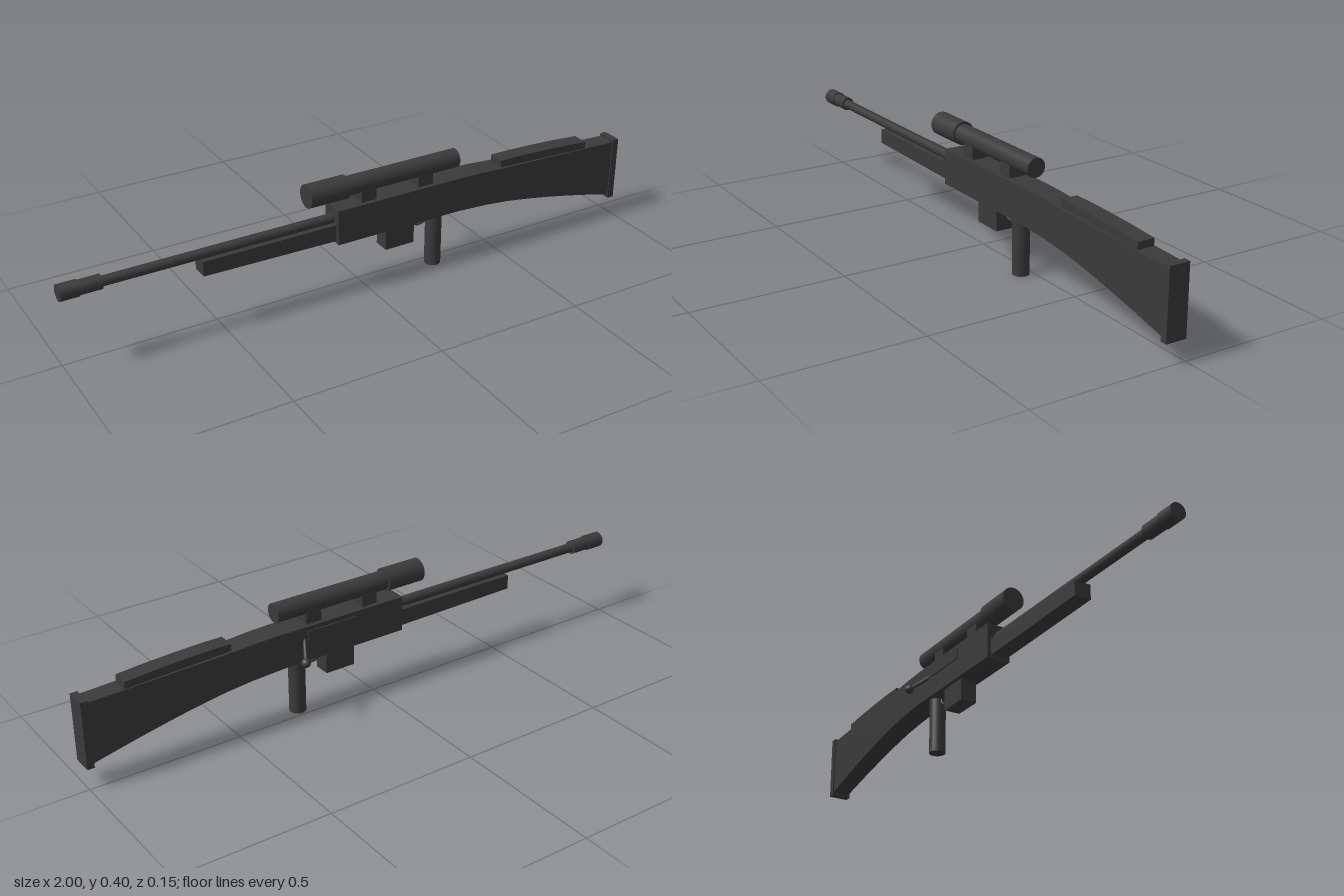
import * as THREE from 'three';

const ZC = 0.035; // centre plane of the long parts

export function createModel() {
  const model = new THREE.Group();
  const gunmetal = new THREE.MeshStandardMaterial({ color: 0x3a3a3a });
  gunmetal.name = 'gunmetal';

  const add = (name, geometry) => {
    const mesh = new THREE.Mesh(geometry, gunmetal);
    mesh.name = name;
    model.add(mesh);
    return mesh;
  };
  // Box given by its limits in x and y, and its centre and width in z
  const box = (name, x0, x1, y0, y1, width, z = ZC) =>
    add(name, new THREE.BoxGeometry(x1 - x0, y1 - y0, width))
      .position.set((x0 + x1) / 2, (y0 + y1) / 2, z);
  // Cylinder lying along x
  const rod = (name, x0, x1, y, radius) => {
    const g = new THREE.CylinderGeometry(radius, radius, x1 - x0, 32).rotateZ(Math.PI / 2);
    add(name, g).position.set((x0 + x1) / 2, y, ZC);
  };
  // Side outline extruded across z, half width set by a function of x
  const slab = (name, points, halfWidth) => {
    const shape = new THREE.Shape(points.map(([x, y]) => new THREE.Vector2(x, y)));
    const g = new THREE.ExtrudeGeometry(shape, { depth: 2, bevelEnabled: false });
    const p = g.attributes.position;
    for (let i = 0; i < p.count; i++) p.setZ(i, ZC + (p.getZ(i) - 1) * halfWidth(p.getX(i)));
    g.computeVertexNormals();
    add(name, g);
  };

  // Receiver and tapering shoulder stock
  box('receiver', -0.11, 0.34, 0.187, 0.305, 0.082);
  slab('stock', [
    [0.34, 0.187], [0.45, 0.18], [0.54, 0.17], [0.62, 0.157], [0.7, 0.142], [0.78, 0.125],
    [0.86, 0.107], [0.98, 0.078], [0.98, 0.279], [0.86, 0.283], [0.51, 0.297], [0.42, 0.303], [0.34, 0.305],
  ], x => 0.041 - (x - 0.34) * 0.017);
  slab('cheekRest', [
    [0.51, 0.29], [0.86, 0.275], [0.86, 0.306], [0.77, 0.313], [0.67, 0.318], [0.58, 0.321], [0.51, 0.321],
  ], () => 0.028);
  box('buttPlate', 0.977, 1, 0.066, 0.287, 0.068);

  // Barrel, muzzle and fore-end
  rod('barrel', -0.9, -0.1, 0.265, 0.016);
  rod('muzzle', -0.94, -0.87, 0.265, 0.023);
  rod('muzzleTip', -1, -0.94, 0.265, 0.026);
  slab('foreEnd', [[-0.563, 0.203], [-0.1, 0.196], [-0.1, 0.252], [-0.563, 0.252]], () => 0.028);

  // Scope on two mounts
  rod('scopeTube', -0.07, 0.345, 0.362, 0.031);
  rod('scopeObjective', -0.2, -0.063, 0.362, 0.038);
  for (const x of [0.008, 0.217]) box('scopeMount', x - 0.027, x + 0.027, 0.3, 0.352, 0.054);

  // Magazine, grip and trigger
  box('magazine', 0.07, 0.175, 0.113, 0.19, 0.056);
  add('grip', new THREE.CylinderGeometry(0.027, 0.027, 0.2, 32)).position.set(0.268, 0.1, ZC);
  const guard = add('triggerGuard', new THREE.TorusGeometry(0.034, 0.004, 8, 24, Math.PI));
  guard.rotation.z = Math.PI;
  guard.position.set(0.211, 0.19, ZC);
  box('trigger', 0.208, 0.214, 0.165, 0.19, 0.008);

  // Ejection port cover and bolt handle on the far side
  box('portCover', 0.07, 0.25, 0.255, 0.29, 0.008, -0.006);
  const root = new THREE.Vector3(0.258, 0.263, 0);
  const tip = new THREE.Vector3(0.293, 0.217, -0.06);
  add('boltHandle', new THREE.TubeGeometry(new THREE.LineCurve3(root, tip), 1, 0.006, 12));
  add('boltKnob', new THREE.SphereGeometry(0.015, 20, 14)).position.copy(tip);

  return model;
}
